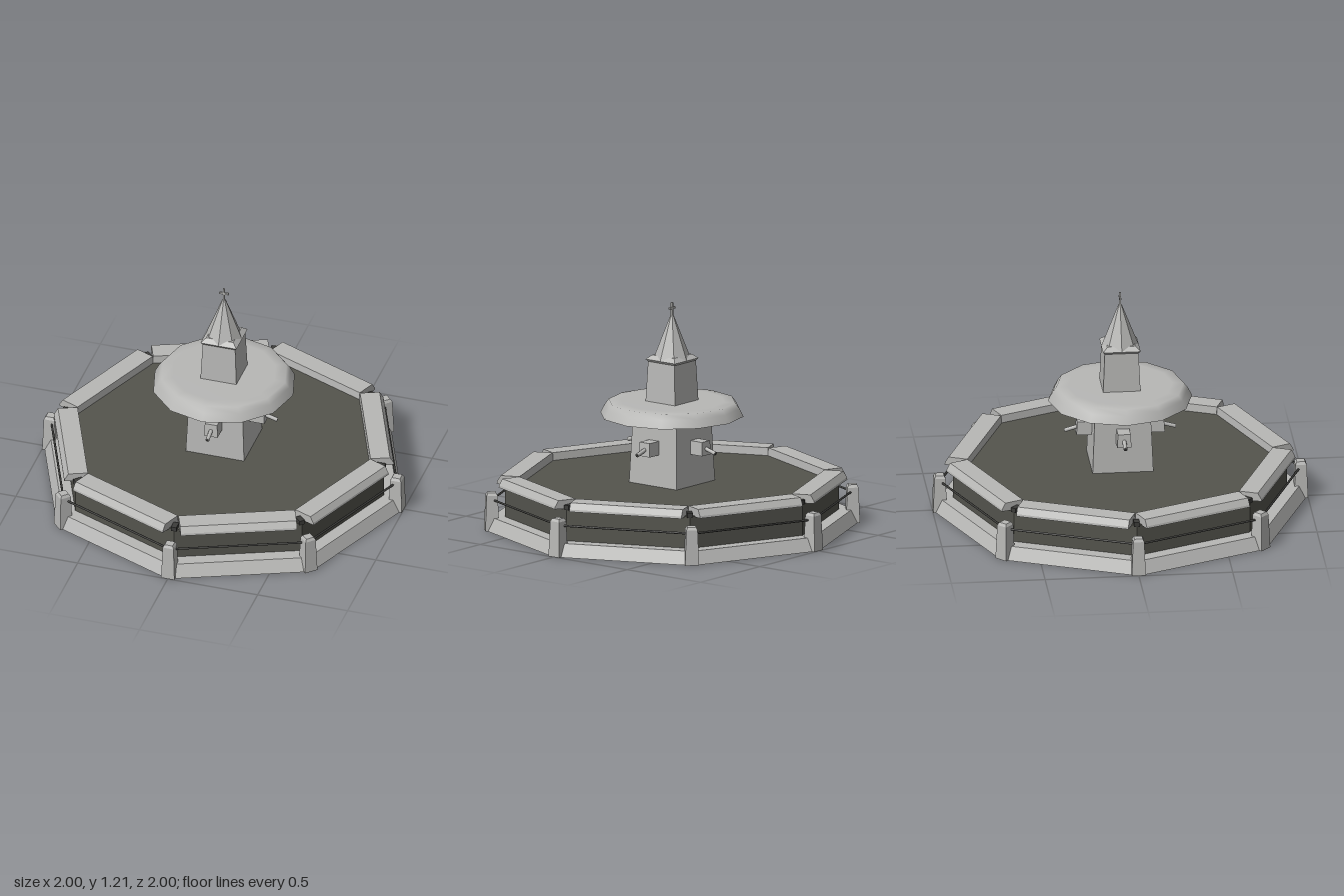
import * as THREE from 'three';

const stone = new THREE.MeshStandardMaterial({ color: 0xb8b8b6 });
stone.name = 'pale stone';
const water = new THREE.MeshStandardMaterial({ color: 0x54544d });
water.name = 'dark basin';
const iron = new THREE.MeshStandardMaterial({ color: 0x3c3c3a });
iron.name = 'dark iron';

// Faceted normals for any geometry
function flat(geo) {
  const g = geo.index ? geo.toNonIndexed() : geo;
  g.computeVertexNormals();
  return g;
}

function add(parent, name, geo, mat, x = 0, y = 0, z = 0) {
  const mesh = new THREE.Mesh(geo, mat);
  mesh.name = name;
  mesh.position.set(x, y, z);
  parent.add(mesh);
  return mesh;
}

// Faceted prism or frustum from y0 to y1, one corner on +z
function frustum(r0, r1, y0, y1, sides) {
  return flat(new THREE.CylinderGeometry(r1, r0, y1 - y0, sides).translate(0, (y0 + y1) / 2, 0));
}

// Square frustum given by half widths
function square(h0, h1, y0, y1) {
  return frustum(h0 * Math.SQRT2, h1 * Math.SQRT2, y0, y1, 4).rotateY(Math.PI / 4);
}

export function createModel() {
  const model = new THREE.Group();
  model.name = 'fountain';

  // Plinth and basin
  add(model, 'plinth', frustum(1, 0.965, 0, 0.07, 8), stone);
  add(model, 'basin', frustum(0.89, 0.89, 0.07, 0.243, 8), water);

  // Rim slab section: x points outward, square ends leave a V gap at each corner
  const section = new THREE.Shape([
    [0, 0.235], [0.13, 0.24], [0.128, 0.252], [0.108, 0.285], [0.004, 0.285],
  ].map(([x, y]) => new THREE.Vector2(x, y)));
  const slabLength = 0.62;
  const slab = new THREE.ExtrudeGeometry(section, { depth: slabLength, bevelEnabled: false })
    .translate(0.748, 0, -slabLength / 2);
  const rail = new THREE.CylinderGeometry(0.006, 0.006, 0.735, 6).rotateX(Math.PI / 2);
  const post = square(0.037, 0.03, 0, 0.19);
  const postCap = square(0.03, 0.022, 0.19, 0.205);
  const cornerBlock = new THREE.BoxGeometry(0.05, 0.025, 0.03);

  for (let i = 0; i < 8; i++) {
    const corner = new THREE.Group();
    corner.name = 'corner' + i;
    corner.rotation.y = i * Math.PI / 4;
    add(corner, 'post', post, stone, 0.962);
    add(corner, 'postCap', postCap, stone, 0.962);
    add(corner, 'cornerBlock', cornerBlock, iron, 0.87, 0.25);
    const side = new THREE.Group();
    side.name = 'side' + i;
    side.rotation.y = (i + 0.5) * Math.PI / 4;
    add(side, 'rimSlab', slab, stone);
    add(side, 'rail', rail, iron, 0.96 * Math.cos(Math.PI / 8), 0.165);
    model.add(corner, side);
  }

  // Lower and upper shaft
  add(model, 'lowerShaft', square(0.162, 0.147, 0.24, 0.61), stone);
  add(model, 'upperShaft', square(0.1, 0.09, 0.67, 0.9), stone);

  // Spouts on four sides
  const block = square(0.038, 0.034, -0.037, 0.037);
  const pipe = new THREE.CylinderGeometry(0.011, 0.011, 0.08, 8).rotateZ(Math.PI / 2);
  const mouth = new THREE.CylinderGeometry(0.008, 0.008, 0.004, 8).rotateZ(Math.PI / 2);
  for (let i = 0; i < 4; i++) {
    const spout = new THREE.Group();
    spout.name = 'spout' + i;
    spout.rotation.y = i * Math.PI / 2;
    add(spout, 'spoutBlock', block, stone, 0.19, 0.452).scale.x = 1.2;
    const tube = new THREE.Group();
    tube.name = 'spoutPipe';
    tube.position.set(0.258, 0.442, 0);
    tube.rotation.z = -0.28;
    add(tube, 'pipe', pipe, stone);
    add(tube, 'pipeMouth', mouth, iron, 0.039);
    spout.add(tube);
    model.add(spout);
  }

  // Rounded twelve-sided bowl; doubled points keep its lower edge sharp
  const bowl = [[0, 0.605], [0.384, 0.605], [0.384, 0.605], [0.362, 0.648], [0.34, 0.678], [0.28, 0.681], [0, 0.681]];
  add(model, 'bowl', new THREE.LatheGeometry(bowl.map(([x, y]) => new THREE.Vector2(x, y)), 12), stone);

  // Spire with flared square eaves
  add(model, 'eaves', square(0.09, 0.1, 0.895, 0.908), stone);
  add(model, 'eavesTop', square(0.1, 0.075, 0.908, 0.93), stone);
  add(model, 'spire', frustum(0.1, 0.009, 0.908, 1.142, 8), stone);

  // Finial cross
  add(model, 'crossUpright', new THREE.BoxGeometry(0.01, 0.08, 0.01), stone, 0, 1.172, 0);
  add(model, 'crossArm', new THREE.BoxGeometry(0.05, 0.01, 0.01), stone, 0, 1.182, 0);

  return model;
}
